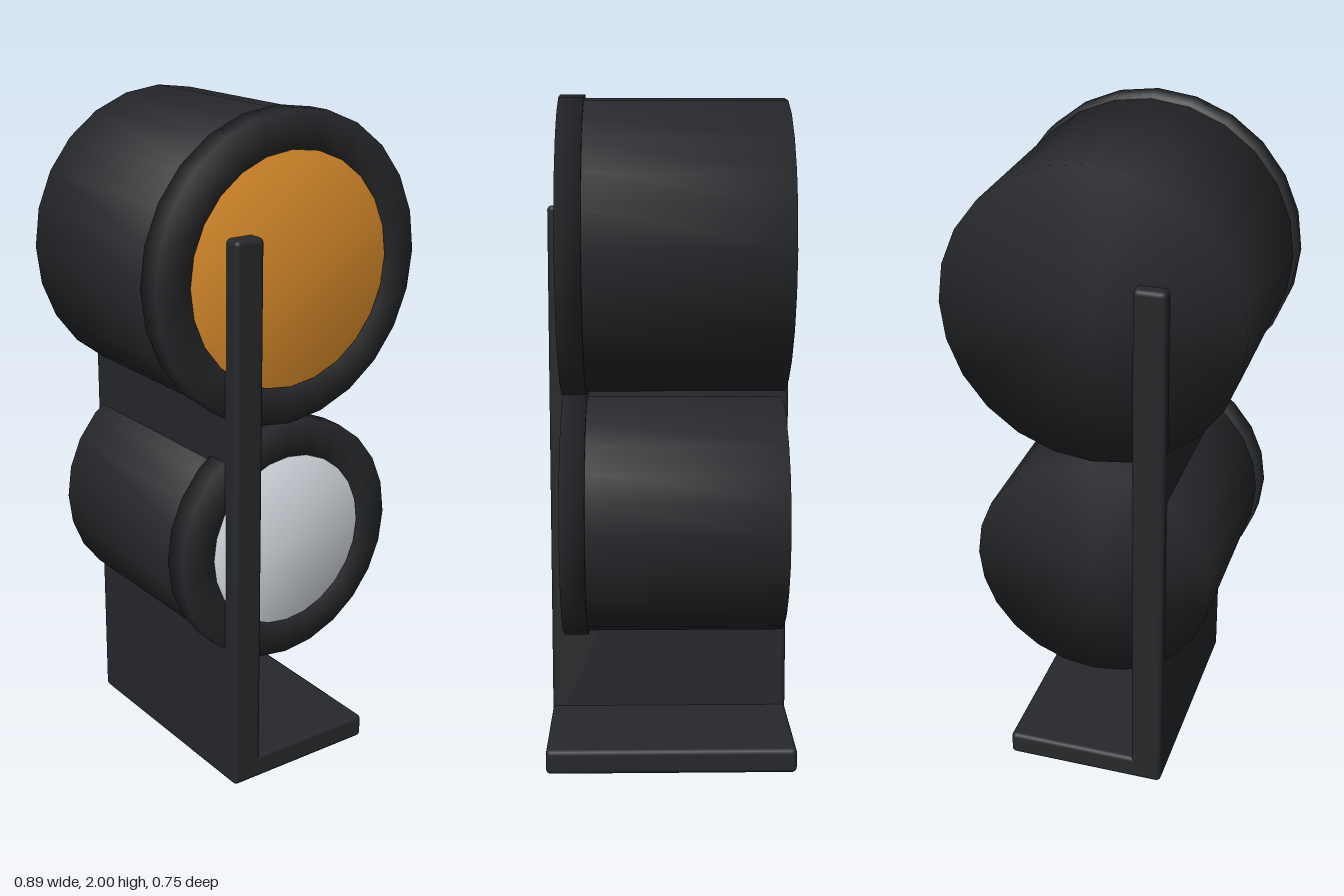
import * as THREE from 'three';
import { mergeVertices } from 'three/addons/utils/BufferGeometryUtils.js';
import { RoundedBoxGeometry } from 'three/addons/geometries/RoundedBoxGeometry.js';

const SIDES = 24;
const dark = new THREE.MeshStandardMaterial({ color: 0x26282b });
const amber = new THREE.MeshStandardMaterial({ color: 0xe0902c });
const clear = new THREE.MeshStandardMaterial({ color: 0xdfe3ea });

function add(parent, name, geometry, material) {
  const mesh = new THREE.Mesh(geometry, material);
  mesh.name = name;
  parent.add(mesh);
  return mesh;
}

// Solid drum along z, shaded smoothly over its rims
function drum(radius, back, front) {
  let g = new THREE.CylinderGeometry(radius, radius, front - back, SIDES);
  g.rotateX(Math.PI / 2).translate(0, 0, (front + back) / 2);
  g.deleteAttribute('normal');
  g.deleteAttribute('uv');
  g = mergeVertices(g, 1e-4);
  g.computeVertexNormals();
  return g;
}

// Flat ring around the lens, facing +z
function bezel(outer, inner, back, front) {
  const profile = [[inner, back], [outer, back], [outer, front], [inner, front], [inner, back]]
    .map(([r, y]) => new THREE.Vector2(r, y));
  return new THREE.LatheGeometry(profile, SIDES).rotateX(Math.PI / 2);
}

function lamp(name, y, barrelR, ringR, lensR, lensMaterial) {
  const group = new THREE.Group();
  group.name = name;
  group.position.y = y;
  add(group, 'barrel', drum(barrelR, -0.34, 0.26), dark);
  add(group, 'bezel', bezel(ringR, lensR - 0.005, 0.25, 0.323), dark);
  add(group, 'lens', drum(lensR, 0.27, 0.328), lensMaterial);
  return group;
}

export function createModel() {
  const model = new THREE.Group();
  model.name = 'twinLamp';

  // The two lamps, one above the other
  model.add(lamp('upperLamp', 1.553, 0.437, 0.447, 0.336, amber));
  model.add(lamp('lowerLamp', 0.74, 0.36, 0.372, 0.262, clear));

  // L-shaped bracket
  const bracket = new THREE.Group();
  bracket.name = 'bracket';
  model.add(bracket);
  add(bracket, 'uprightPlate', new RoundedBoxGeometry(0.095, 1.675, 0.75, 3, 0.015), dark)
    .position.set(-0.176, 0.8375, 0);
  add(bracket, 'basePlate', new RoundedBoxGeometry(0.495, 0.075, 0.75, 3, 0.015), dark)
    .position.set(0.0245, 0.0375, 0);

  return model;
}
